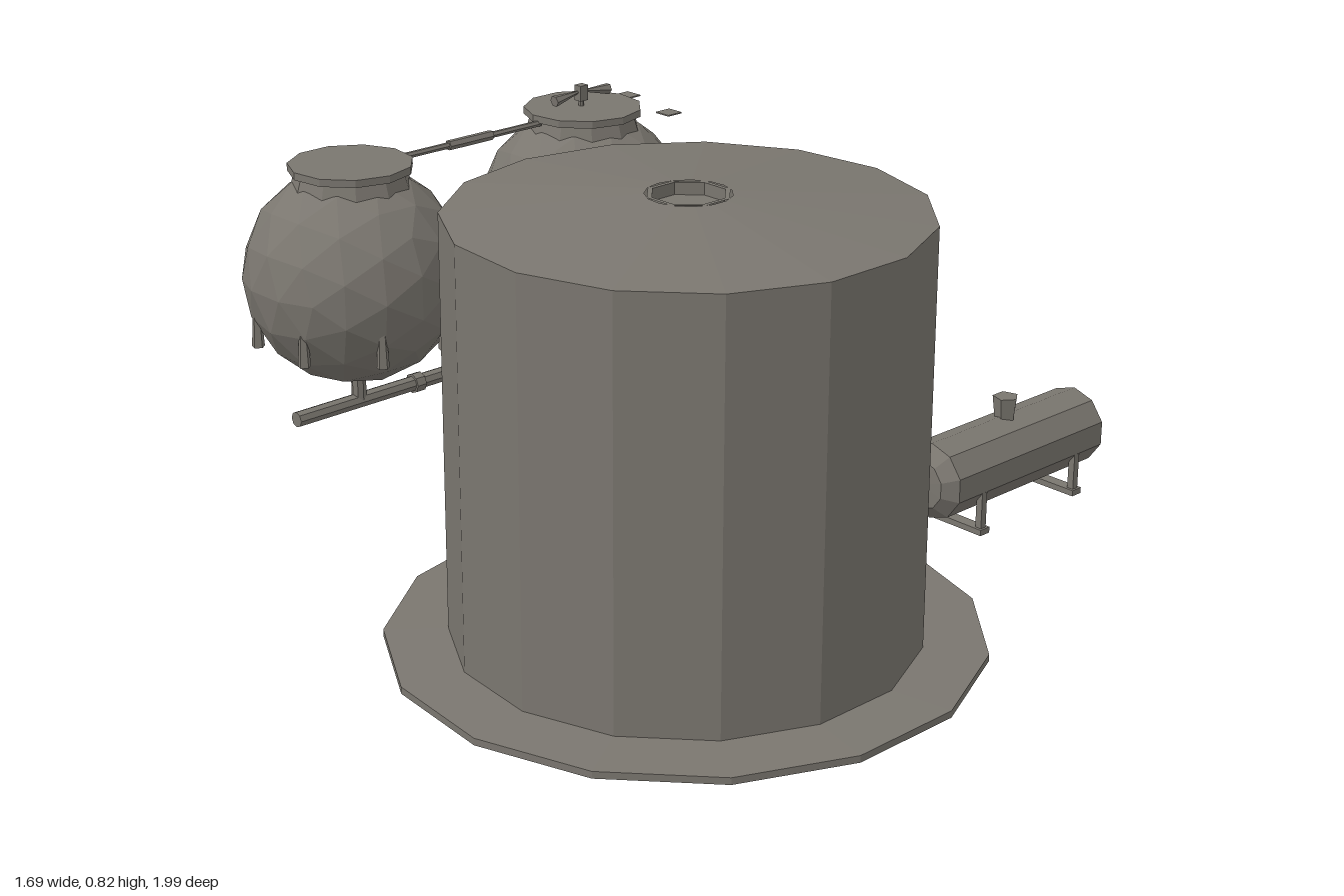
import * as THREE from 'three';

export function createModel() {
  const root = new THREE.Group();
  const steel = new THREE.MeshStandardMaterial({ color: 0x7a766f, flatShading: true, side: THREE.DoubleSide });
  steel.name = 'weathered grey steel';

  const add = (parent, name, geometry, x = 0, y = 0, z = 0) => {
    const mesh = new THREE.Mesh(geometry, steel);
    mesh.name = name;
    mesh.position.set(x, y, z);
    parent.add(mesh);
    return mesh;
  };
  const group = (name, x, y, z) => {
    const g = new THREE.Group();
    g.name = name;
    g.position.set(x, y, z);
    root.add(g);
    return g;
  };
  const lathe = (points, sides, start = 0) =>
    new THREE.LatheGeometry(points.map(p => new THREE.Vector2(...p)), sides, start);
  // Straight pipe running along x
  const pipeX = (parent, name, r, x0, x1, y, z, sides = 8) => {
    const mesh = add(parent, name, new THREE.CylinderGeometry(r, r, x1 - x0, sides), (x0 + x1) / 2, y, z);
    mesh.rotation.z = Math.PI / 2;
    return mesh;
  };

  // Large storage tank: fifteen-sided shell, shallow roof and base skirt
  const tank = group('storageTank', -0.315, 0, 0.47);
  add(tank, 'baseSkirt', lathe([[0.42, 0.004], [0.535, 0.004], [0.535, 0.017], [0.42, 0.02], [0.42, 0.004]], 15, Math.PI));
  add(tank, 'tankShell', lathe([[0, 0.01], [0.42, 0.01], [0.42, 0.79]], 15, Math.PI));
  add(tank, 'tankRoof', lathe([[0.42, 0.79], [0.075, 0.822]], 15, Math.PI));
  add(tank, 'roofHatch', lathe([[0.075, 0.822], [0.066, 0.822], [0.066, 0.8], [0, 0.8]], 8, Math.PI / 8));

  // Small horizontal tank on two saddles
  const drum = group('horizontalTank', 0.548, 0.11, 0.47);
  const shell = add(drum, 'drumShell', lathe(
    [[0, -0.243], [0.05, -0.24], [0.077, -0.215], [0.077, 0.215], [0.05, 0.24], [0, 0.243]], 10, Math.PI / 10));
  shell.rotation.z = Math.PI / 2;
  add(drum, 'fillerNeck', new THREE.CylinderGeometry(0.026, 0.02, 0.05, 5), 0, 0.091, 0);
  for (const x of [-0.14, 0.14]) {
    add(drum, 'saddleFoot', new THREE.BoxGeometry(0.026, 0.012, 0.155), x, -0.104, 0);
    for (const s of [-1, 1]) {
      add(drum, 'saddleLeg', new THREE.BoxGeometry(0.014, 0.08, 0.014), x, -0.062, s * 0.066);
    }
  }

  // Pair of spherical tanks with top platforms and a ring of support stubs
  const Z = -0.768, sphereX = [-0.095, 0.55];
  for (const x of sphereX) {
    const sphere = group('sphericalTank', x, 0.32, Z);
    add(sphere, 'sphereShell', new THREE.IcosahedronGeometry(0.235, 2));
    add(sphere, 'platformNeck', new THREE.CylinderGeometry(0.115, 0.13, 0.05, 11), 0, 0.205, 0);
    add(sphere, 'topPlatform', new THREE.CylinderGeometry(0.132, 0.132, 0.016, 11), 0, 0.232, 0);
    for (let i = 0; i < 8; i++) {
      const a = (i + 0.5) * Math.PI / 4;
      add(sphere, 'supportStub', new THREE.CylinderGeometry(0.009, 0.014, 0.08, 5),
        Math.sin(a) * 0.212, -0.1, Math.cos(a) * 0.212);
    }
    add(sphere, 'drainPipe', new THREE.CylinderGeometry(0.016, 0.016, 0.07, 8), 0, -0.255, 0);
  }

  // Bottom pipework: elbow under the left sphere, main run and outlet
  const pipes = group('pipework', 0, 0, 0);
  const bend = new THREE.CatmullRomCurve3([
    [0.55, 0.09], [0.55, 0.055], [0.535, 0.032], [0.48, 0.03],
  ].map(([x, y]) => new THREE.Vector3(x, y, Z)));
  add(pipes, 'pipeElbow', new THREE.TubeGeometry(bend, 6, 0.018, 8));
  pipeX(pipes, 'bottomPipe', 0.017, -0.26, 0.5, 0.03, Z);
  for (const x of [0.06, 0.39]) pipeX(pipes, 'pipeCollar', 0.022, x - 0.012, x + 0.012, 0.03, Z);

  // Slim pipe linking the two platforms
  pipeX(pipes, 'topLinkPipe', 0.007, 0.02, 0.43, 0.542, Z - 0.007, 6);
  pipeX(pipes, 'topLinkSleeve', 0.011, 0.17, 0.29, 0.542, Z - 0.007, 6);

  // Valve on the left sphere: a hub with two flared handles
  const valve = group('topValve', 0.55, 0.588, Z - 0.005);
  add(valve, 'valveHub', new THREE.BoxGeometry(0.022, 0.035, 0.02), 0, 0.002, 0);
  add(valve, 'valveStem', new THREE.CylinderGeometry(0.006, 0.006, 0.04, 6), 0, -0.015, 0);
  for (const s of [-1, 1]) {
    const handle = add(valve, 'valveHandle', new THREE.CylinderGeometry(0.003, 0.013, 0.07, 6), s * 0.045, 0, 0);
    handle.rotation.z = s * 1.45;
  }

  // Small thin plates beside the left sphere
  for (const [x, y, z] of [[0.695, 0.555, -0.78], [0.825, 0.49, -0.78], [0.825, 0.255, -0.515]]) {
    add(root, 'sidePlate', new THREE.BoxGeometry(0.042, 0.003, 0.042), x, y, z);
  }
  return root;
}
